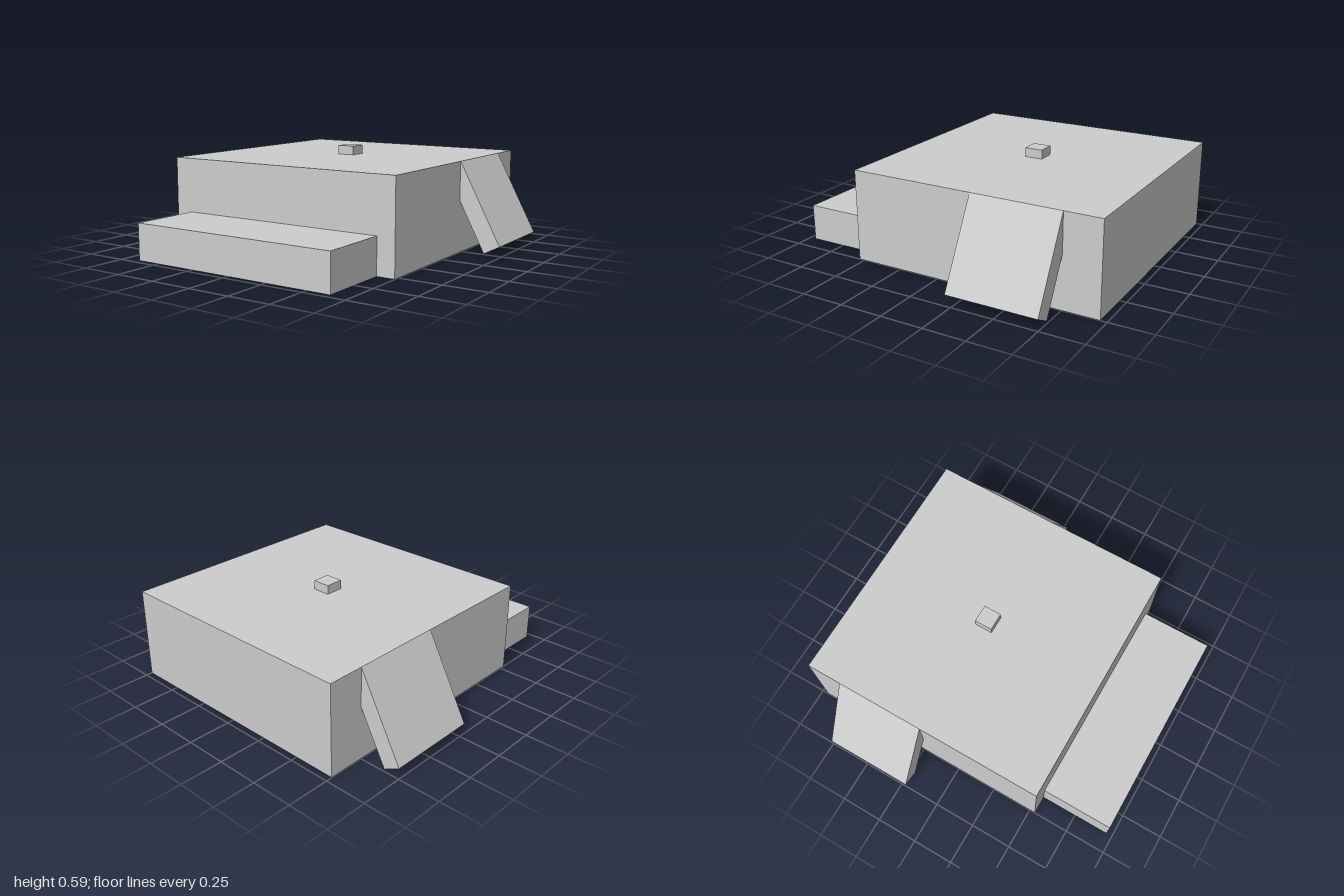
import * as THREE from 'three';

const U = 0.107; // module size: every part is a multiple of it

export function createModel() {
  const model = new THREE.Group();
  const grey = new THREE.MeshStandardMaterial({ color: 0xcccccc });
  grey.name = 'light grey';

  // Box given by its size and centre in modules
  function box(name, [w, h, d], [x, y, z]) {
    const mesh = new THREE.Mesh(new THREE.BoxGeometry(w * U, h * U, d * U), grey);
    mesh.name = name;
    mesh.position.set(x * U, y * U, z * U);
    return mesh;
  }

  // Main block, low front step and small stud on the roof
  model.add(box('body', [14, 5, 14], [0, 2.5, -2]));
  model.add(box('frontStep', [12, 2, 4], [0, 1, 7]));
  model.add(box('topStud', [1, 0.5, 1], [0, 5.25, -2]));

  // Slanted side flaps, hinged at the top edges of the body
  for (const side of [1, -1]) {
    const hinge = new THREE.Group();
    hinge.name = side > 0 ? 'leftFlap' : 'rightFlap';
    hinge.position.set(side * 7 * U, 5 * U, -4.5 * U);
    hinge.rotation.z = side * THREE.MathUtils.degToRad(28);
    hinge.add(box('flapPanel', [1, 5, 5], [-side * 0.5, -2.5, 0]));
    model.add(hinge);
  }
  return model;
}
